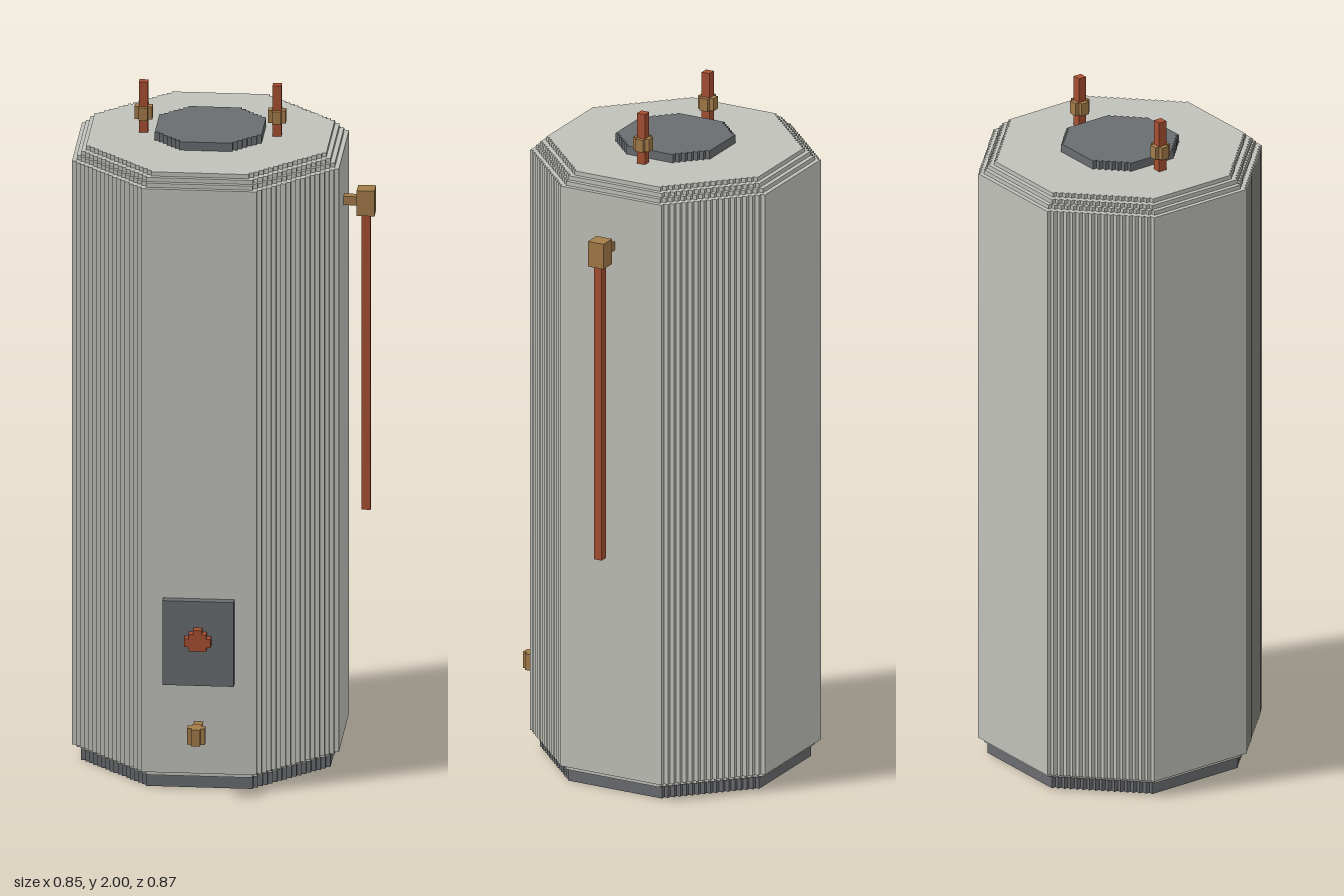
import * as THREE from 'three';

const V = 2 / 157.5;          // one step of the blocky grid
const CX = -0.045, CZ = -0.052; // axis of the tank

const mat = (name, color) => {
  const m = new THREE.MeshStandardMaterial({ color });
  m.name = name;
  return m;
};

// Octagon outline whose diagonal sides are staircases.
// half = half width, flat = half length of the straight sides, both in steps
function steppedOctagon(half, flat) {
  const quarter = [];
  for (let i = 0; i < half - flat; i++) {
    quarter.push([half - i, flat + i], [half - i - 1, flat + i]);
  }
  quarter.push([flat, half]);
  const points = [];
  for (let q = 0; q < 4; q++) {
    const c = [1, 0, -1, 0][q], s = [0, 1, 0, -1][q];
    for (const [x, y] of quarter) {
      points.push(new THREE.Vector2((x * c - y * s) * V, (x * s + y * c) * V));
    }
  }
  return new THREE.Shape(points);
}

export function createModel() {
  const group = new THREE.Group();
  group.name = 'waterHeater';
  const casing = mat('casing grey', 0xc2c2bc);
  const dark = mat('dark grey', 0x6a6d71);
  const copper = mat('copper', 0xa85032);
  const brass = mat('brass', 0xa47c4a);

  const add = (name, geometry, material, x, y, z) => {
    const mesh = new THREE.Mesh(geometry, material);
    mesh.name = name;
    mesh.position.set(x, y, z);
    group.add(mesh);
  };
  // Upright stepped prism from y0 to y1
  const prism = (name, material, half, flat, y0, y1, x = CX, z = CZ) => {
    const g = new THREE.ExtrudeGeometry(steppedOctagon(half, flat), { depth: y1 - y0, bevelEnabled: false });
    add(name, g.rotateX(-Math.PI / 2), material, x, y0, z);
  };
  // Box given by its limits
  const box = (name, material, x0, x1, y0, y1, z0, z1) =>
    add(name, new THREE.BoxGeometry(x1 - x0, y1 - y0, z1 - z0), material,
      (x0 + x1) / 2, (y0 + y1) / 2, (z0 + z1) / 2);

  // Tank: base, casing with stepped shoulders, top cap
  const top = 1.848;
  prism('base', dark, 28, 12, 0, 3 * V);
  prism('lowerRim', casing, 29, 12, 3 * V, 4 * V);
  prism('tankBody', casing, 30, 13, 4 * V, top - 3 * V);
  [[29, 12], [28, 12], [27, 11]].forEach(([half, flat], i) =>
    prism('shoulder' + (i + 1), casing, half, flat, top - (3 - i) * V, top - (2 - i) * V));
  prism('topCap', dark, 12, 6, top, top + 2 * V);

  // Water pipes with collars on top
  for (const side of [-1, 1]) {
    const x = CX + side * 15 * V;
    box('waterPipe', copper, x - V, x + V, top, 2, CZ - V, CZ + V);
    prism('pipeCollar', brass, 2, 1, 1.888, 1.926, x, CZ);
  }

  // Relief valve and its discharge pipe
  const px = 0.4;
  box('reliefStub', brass, CX + 30 * V, px - 2 * V, 1.647, 1.673, CZ - V, CZ + V);
  box('reliefValve', brass, px - 2 * V, px + 2 * V, 1.62, 1.696, CZ - 2 * V, CZ + 2 * V);
  box('dischargePipe', copper, px - V, px + V, 0.73, 1.62, CZ - V, CZ + V);

  // Access panel with a rounded knob made of rows
  const front = CZ + 30 * V;
  box('accessPanel', dark, CX - 8 * V, CX + 8 * V, 0.324, 0.578, front, front + 2 * V);
  [2, 3, 3, 2, 1].forEach((w, i) =>
    box('knobRow', copper, CX - w * V, CX + w * V, 0.436 + i * V, 0.436 + (i + 1) * V,
      front + 2 * V, front + 4 * V));

  // Drain valve
  const dz = 0.41;
  box('drainStub', brass, CX - V, CX + V, 0.183, 0.208, front, dz - 2 * V);
  prism('drainValve', brass, 2, 1, 0.17, 0.219, CX, dz);

  return group;
}
